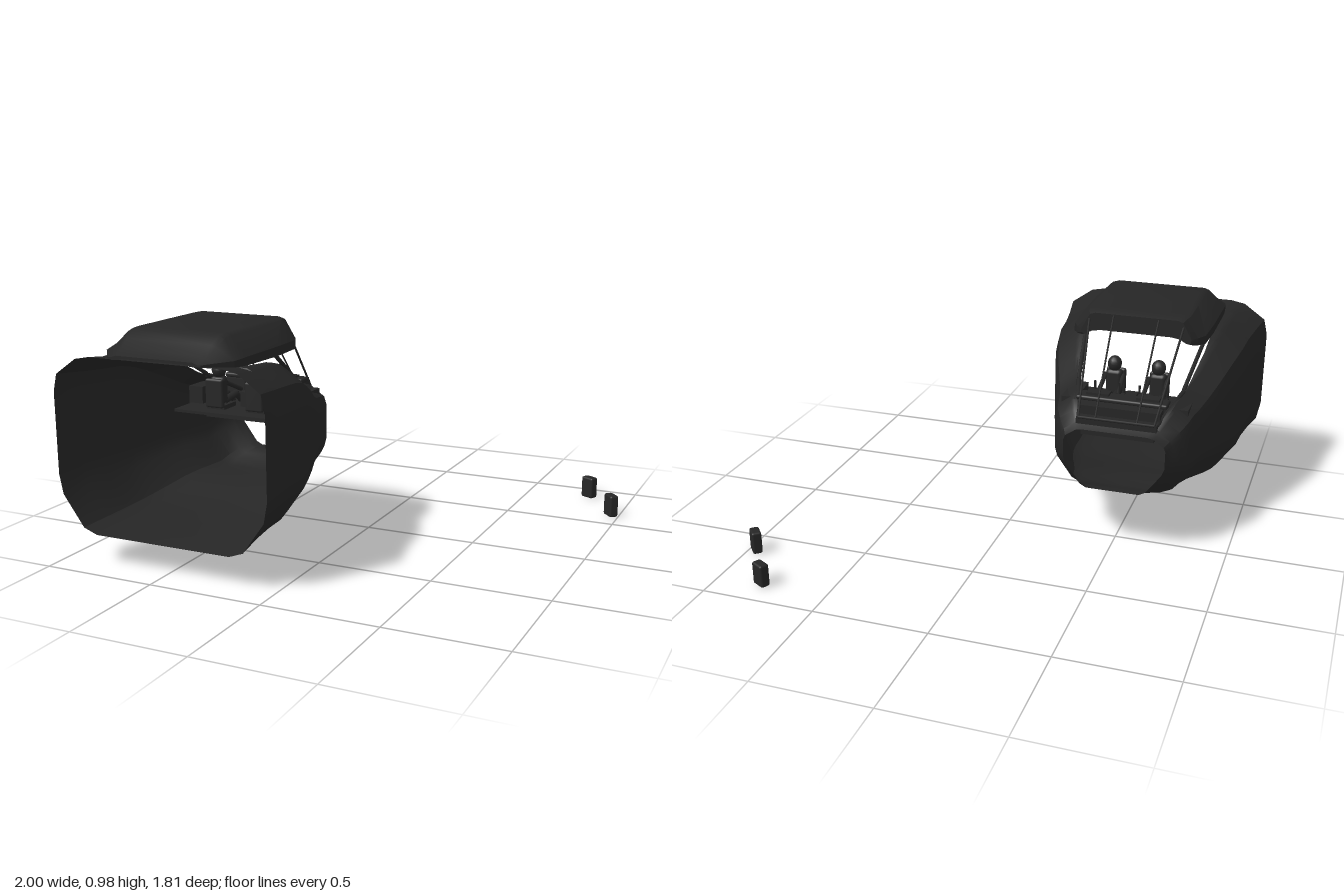
import * as THREE from 'three';
import { toCreasedNormals } from 'three/addons/utils/BufferGeometryUtils.js';
import { RoundedBoxGeometry } from 'three/addons/geometries/RoundedBoxGeometry.js';

const charcoal = new THREE.MeshStandardMaterial({ color: 0x262626, side: THREE.DoubleSide });
charcoal.name = 'charcoal';

// Skin a list of cross-sections [{z, pts:[[x,y],...]}]; optionally close the ring and cap the ends.
function loft(sections, closed, capped) {
  const pos = [];
  const put = (s, i) => pos.push(s.pts[i][0], s.pts[i][1], s.z);
  const n = sections[0].pts.length;
  for (let k = 0; k < sections.length - 1; k++) {
    const a = sections[k], b = sections[k + 1];
    for (let i = 0; i < (closed ? n : n - 1); i++) {
      const j = (i + 1) % n;
      put(a, i); put(b, i); put(b, j);
      put(a, i); put(b, j); put(a, j);
    }
  }
  if (capped) {
    [sections[0], sections[sections.length - 1]].forEach((s, end) => {
      const faces = THREE.ShapeUtils.triangulateShape(s.pts.map(p => new THREE.Vector2(...p)), []);
      faces.forEach(f => (end ? f : [f[0], f[2], f[1]]).forEach(i => put(s, i)));
    });
  }
  const g = new THREE.BufferGeometry();
  g.setAttribute('position', new THREE.Float32BufferAttribute(pos, 3));
  return toCreasedNormals(g, 0.5);
}

const mirror = half => [...half, ...half.slice().reverse().map(([x, y]) => [-x, y])];

// Replace inner corners of an open path with short bevels
function soften(path) {
  const mix = (a, b, t) => [a[0] + (b[0] - a[0]) * t, a[1] + (b[1] - a[1]) * t];
  return path.flatMap((p, i) => i === 0 || i === path.length - 1 ? [p]
    : [mix(p, path[i - 1], 0.13), mix(p, path[i + 1], 0.13)]);
}

function add(parent, name, geometry, x = 0, y = 0, z = 0) {
  const m = new THREE.Mesh(geometry, charcoal);
  m.name = name;
  m.position.set(x, y, z);
  parent.add(m);
  return m;
}

const box = (w, h, d) => new THREE.BoxGeometry(w, h, d);

function rod(parent, name, a, b, r) {
  const path = new THREE.LineCurve3(new THREE.Vector3(...a), new THREE.Vector3(...b));
  return add(parent, name, new THREE.TubeGeometry(path, 1, r, 6));
}

// Open-ended hull: z, half width, top, bottom, half width of the cockpit opening
function hullGeometry() {
  const rows = [
    [0.9, 0.492, 0.877, 0.13, 0], [0.76, 0.468, 0.86, 0.143, 0], [0.755, 0.467, 0.859, 0.143, 0.28],
    [0.64, 0.452, 0.848, 0.15, 0.29], [0.53, 0.445, 0.84, 0.155, 0.29], [0.45, 0.43, 0.82, 0.166, 0.285],
    [0.37, 0.408, 0.785, 0.182, 0.28], [0.28, 0.38, 0.74, 0.203, 0.265], [0.2, 0.35, 0.695, 0.218, 0.25],
    [0.13, 0.326, 0.665, 0.225, 0.23], [0.06, 0.31, 0.655, 0.229, 0.215], [0, 0.298, 0.64, 0.248, 0.2],
    [-0.05, 0.272, 0.61, 0.268, 0.185], [-0.09, 0.245, 0.58, 0.282, 0.165], [-0.095, 0.24, 0.577, 0.283, 0],
    [-0.135, 0.222, 0.56, 0.29, 0]];
  return loft(rows.map(([z, w, top, bot, open]) => {
    const t = z + 0.135;
    return { z, pts: mirror(soften([
      [open, top], [w * 0.73, top], [w, top - w * 0.19],
      [w, bot + 0.12 + 0.058 * t], [w - 0.088 - 0.04 * t, bot], [0, bot]])) };
  }), false, false);
}

// Arched hard roof: z, flat half width, edge half width, crown, ceiling, shoulder, lip
function roofGeometry() {
  const rows = [
    [0.9, 0.19, 0.215, 0.893, 0.882, 0.885, 0.875], [0.85, 0.2, 0.255, 0.912, 0.888, 0.888, 0.87],
    [0.79, 0.21, 0.3, 0.945, 0.895, 0.89, 0.862], [0.74, 0.215, 0.305, 0.972, 0.895, 0.892, 0.858],
    [0.7, 0.215, 0.305, 0.981, 0.895, 0.893, 0.855], [0.45, 0.215, 0.303, 0.981, 0.895, 0.893, 0.85],
    [0.28, 0.213, 0.295, 0.981, 0.895, 0.893, 0.853], [0.235, 0.205, 0.27, 0.981, 0.895, 0.893, 0.858],
    [0.205, 0.195, 0.245, 0.972, 0.895, 0.893, 0.872]];
  return loft(rows.map(([z, f, e, crown, ceiling, shoulder, lip]) => ({ z, pts: mirror([
    [f - 0.04, ceiling], [e - 0.05, ceiling - 0.006], [e - 0.02, lip],
    [e, lip + 0.003], [e, shoulder], [f + 0.012, crown - 0.008], [f - 0.012, crown]]) })), true, true);
}

// Seated crew figure facing the windscreen
function crewMember(x) {
  const g = new THREE.Group();
  g.name = 'crewMember';
  g.position.x = x;
  add(g, 'seatBack', new RoundedBoxGeometry(0.09, 0.13, 0.025, 1, 0.01), 0, 0.63, 0.3);
  add(g, 'seatBase', box(0.09, 0.025, 0.1), 0, 0.565, 0.25);
  add(g, 'torso', new RoundedBoxGeometry(0.075, 0.12, 0.045, 2, 0.018), 0, 0.64, 0.265);
  add(g, 'head', new THREE.SphereGeometry(0.032, 14, 10), 0, 0.728, 0.262).scale.y = 1.1;
  for (const s of [-1, 1]) {
    rod(g, 'thigh', [s * 0.02, 0.59, 0.26], [s * 0.024, 0.605, 0.16], 0.016);
    rod(g, 'shin', [s * 0.024, 0.605, 0.16], [s * 0.024, 0.55, 0.1], 0.013);
    rod(g, 'arm', [s * 0.04, 0.675, 0.265], [s * 0.045, 0.625, 0.15], 0.01);
    rod(g, 'controlStick', [s * 0.055, 0.56, 0.14], [s * 0.055, 0.685, 0.13], 0.005);
  }
  return g;
}

export function createModel() {
  const model = new THREE.Group();
  const cockpit = new THREE.Group();
  cockpit.name = 'cockpitSection';
  cockpit.position.x = -0.508;
  model.add(cockpit);

  add(cockpit, 'hull', hullGeometry());
  add(cockpit, 'roof', roofGeometry());

  // Floor, side consoles and dashboard
  add(cockpit, 'floor', box(0.54, 0.012, 0.34), 0, 0.552, 0.2);
  add(cockpit, 'floorBeam', box(0.32, 0.03, 0.36), 0, 0.53, 0.1);
  add(cockpit, 'dashboard', box(0.38, 0.09, 0.05), 0, 0.605, 0.045);
  add(cockpit, 'dashHood', new RoundedBoxGeometry(0.4, 0.02, 0.08, 1, 0.008), 0, 0.66, 0.01);
  add(cockpit, 'noseStep', box(0.36, 0.04, 0.07), 0, 0.625, -0.035);
  add(cockpit, 'noseShelf', box(0.35, 0.03, 0.05), 0, 0.59, -0.085);
  add(cockpit, 'centreConsole', box(0.05, 0.07, 0.16), 0, 0.59, 0.13);
  for (const s of [-1, 1]) {
    add(cockpit, 'sideConsole', box(0.07, 0.08, 0.2), s * 0.245, 0.595, 0.13);
    add(cockpit, 'dashPod', box(0.1, 0.014, 0.05), s * 0.11, 0.673, 0.02);
    cockpit.add(crewMember(s * 0.1));
    // Windscreen frame and opening rails
    rod(cockpit, 'screenStrut', [s * 0.1, 0.965, 0.205], [s * 0.09, 0.61, -0.11], 0.004);
    rod(cockpit, 'screenPost', [s * 0.21, 0.95, 0.215], [s * 0.165, 0.605, -0.11], 0.005);
    rod(cockpit, 'rearPost', [s * 0.28, 0.865, 0.45], [s * 0.235, 0.68, 0.15], 0.009);
    rod(cockpit, 'sillRail', [s * 0.235, 0.675, 0.15], [s * 0.165, 0.59, -0.095], 0.01);
  }
  rod(cockpit, 'screenSill', [-0.165, 0.605, -0.11], [0.165, 0.605, -0.11], 0.006);

  // Two small detached blocks
  for (const [x, z, turn] of [[0.797, -0.877, -0.5], [0.962, -0.63, -0.85]])
    add(model, 'looseBlock', new RoundedBoxGeometry(0.068, 0.102, 0.042, 2, 0.009), x, 0.051, z).rotation.y = turn;

  return model;
}
